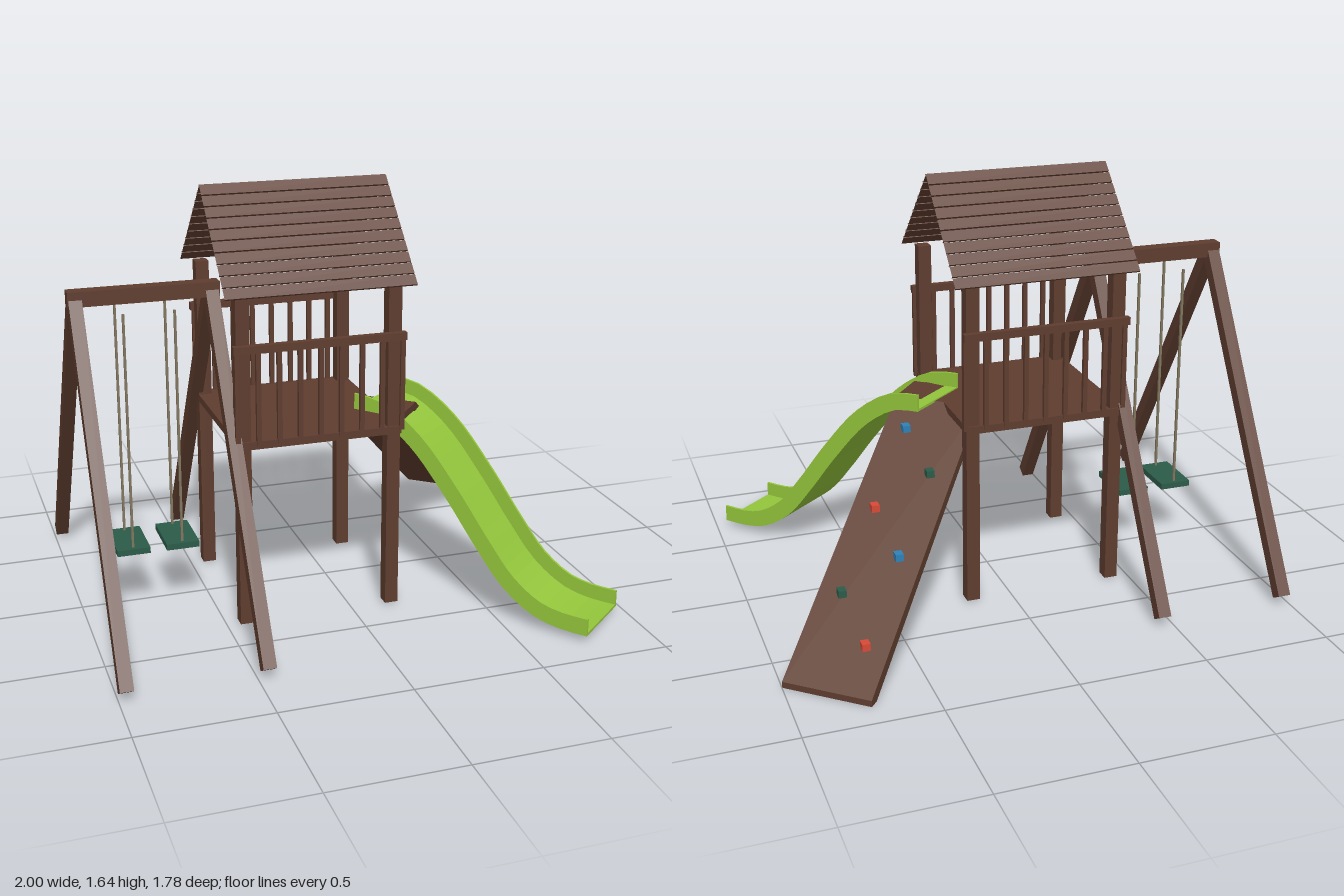
import * as THREE from 'three';

const mat = (name, color) => {
  const m = new THREE.MeshStandardMaterial({ color });
  m.name = name;
  return m;
};

export function createModel() {
  const wood = mat('brown wood', 0x5f3d2f);
  const green = mat('slide green', 0x94c63c);
  const seatGreen = mat('dark green', 0x2c5c49);
  const rope = mat('rope', 0x81765f);
  const red = mat('red', 0xd94a38);
  const blue = mat('blue', 0x2f82b8);

  const model = new THREE.Group();
  const CZ = 0.022; // centre line of tower and swing

  const add = (name, geo, material, parent = model) => {
    const m = new THREE.Mesh(geo, material);
    m.name = name;
    parent.add(m);
    return m;
  };
  // box given by its limits on each axis
  const box = (name, material, [x0, x1], [y0, y1], [z0, z1], parent = model) => {
    const m = add(name, new THREE.BoxGeometry(x1 - x0, y1 - y0, z1 - z0), material, parent);
    m.position.set((x0 + x1) / 2, (y0 + y1) / 2, (z0 + z1) / 2);
    return m;
  };
  const span = (c, w) => [c - w / 2, c + w / 2];
  // side profile extruded across a width, centred on local z = c
  const profile = (name, material, pts, width, c, parent) => {
    const shape = new THREE.Shape(pts.map(p => new THREE.Vector2(p[0], p[1])));
    const geo = new THREE.ExtrudeGeometry(shape, { depth: width, bevelEnabled: false });
    geo.translate(0, 0, c - width / 2);
    return add(name, geo, material, parent);
  };

  // tower posts and floor
  for (const x of [-0.425, 0.16])
    for (const z of [CZ - 0.298, CZ + 0.298])
      box('post', wood, span(x, 0.052), [0.01, 1.293], span(z, 0.053));
  box('floor', wood, [-0.452, 0.188], [0.716, 0.745], [CZ - 0.323, CZ + 0.323]);

  // railings at front and back
  for (const s of [1, -1]) {
    const rail = new THREE.Group();
    rail.name = 'railing';
    model.add(rail);
    box('topRail', wood, [-0.465, 0.2], [1.085, 1.115], span(CZ + s * 0.333, 0.026), rail);
    box('bottomRail', wood, [-0.452, 0.188], [0.715, 0.745], span(CZ + s * 0.322, 0.02), rail);
    for (let i = 0; i < 9; i++)
      box('baluster', wood, span(-0.45 + i * 0.08, 0.018), [0.73, 1.09], span(CZ + s * 0.327, 0.016), rail);
  }

  // roof of open-ended slats
  const slat = new THREE.BoxGeometry(0.73, 0.008, 0.044);
  slat.setIndex(Array.from(slat.index.array).slice(12));
  slat.clearGroups();
  for (const s of [1, -1])
    for (let i = 0; i < 10; i++) {
      const m = add('roofSlat', slat, wood);
      const d = 0.017 + i * 0.0352;
      m.position.set(-0.13, 1.643 - d, CZ + s * d);
      m.rotation.x = s * Math.PI / 4;
    }
  box('ridgePin', rope, span(-0.13, 0.01), [1.51, 1.645], span(CZ, 0.01));

  // swing frame
  box('swingBeam', wood, [-1, -0.43], [1.225, 1.283], span(CZ, 0.056));
  for (const x of [-0.972, -0.46])
    for (const s of [1, -1]) {
      const rise = 1.215, run = 0.737;
      const leg = add('swingLeg', new THREE.BoxGeometry(0.05, Math.hypot(rise, run), 0.05), wood);
      leg.position.set(x, 0.035 + rise / 2, CZ + s * run / 2);
      leg.rotation.x = -s * Math.atan2(run, rise);
    }

  // swings
  for (const x of [-0.81, -0.618]) {
    box('swingSeat', seatGreen, span(x, 0.128), [0.256, 0.28], span(CZ, 0.215));
    for (const s of [1, -1])
      box('swingRope', rope, span(x, 0.009), [0.27, 1.203], span(CZ + s * 0.087, 0.009));
  }

  // slide: bed and two side walls follow one curve
  const slide = new THREE.Group();
  slide.name = 'slide';
  slide.position.set(0.197, 0, 0.015);
  slide.rotation.y = -THREE.MathUtils.degToRad(50);
  model.add(slide);
  const curve = new THREE.CatmullRomCurve3([
    [0, 0.74], [0.11, 0.725], [0.25, 0.635], [0.41, 0.455], [0.54, 0.285],
    [0.66, 0.145], [0.79, 0.06], [0.9, 0.035], [1.01, 0.032],
  ].map(([s, y]) => new THREE.Vector3(s, y, 0)));
  const ribbon = (lo, hi) => {
    const edge = off => Array.from({ length: 25 }, (_, i) => {
      const p = curve.getPointAt(i / 24), t = curve.getTangentAt(i / 24);
      const end = i === 0 || i === 24;
      return end ? [p.x, p.y + off] : [p.x - t.y * off, p.y + t.x * off];
    });
    return [...edge(lo), ...edge(hi).reverse()];
  };
  profile('slideBed', green, ribbon(0, 0.01), 0.295, 0, slide);
  for (const s of [1, -1])
    profile('slideWall', green, ribbon(0, 0.068), 0.01, s * 0.1425, slide);

  // climbing ramp with a flat landing
  const ramp = new THREE.Group();
  ramp.name = 'climbingRamp';
  ramp.position.set(0.21, 0, -0.005);
  const turn = THREE.MathUtils.degToRad(50);
  ramp.rotation.y = turn;
  model.add(ramp);
  profile('rampBoard', wood, [
    [-0.18, 0.745], [-0.18, 0.716], [-0.02, 0.716], [0.98, 0.004], [1.02, 0.004], [1.02, 0.028], [0, 0.745],
  ], 0.348, 0, ramp);

  // climbing holds in a zigzag
  for (let i = 0; i < 6; i++) {
    const s = 0.124 + i * 0.149;
    const hold = add('climbingHold', new THREE.BoxGeometry(0.03, 0.028, 0.036), [blue, seatGreen, red][i % 3], ramp);
    hold.position.set(s, 0.755 - 0.703 * s, i % 2 ? -0.082 : 0.08);
    if (i === 2) hold.position.z = 0.08;
    hold.rotation.y = -turn;
  }
  return model;
}
